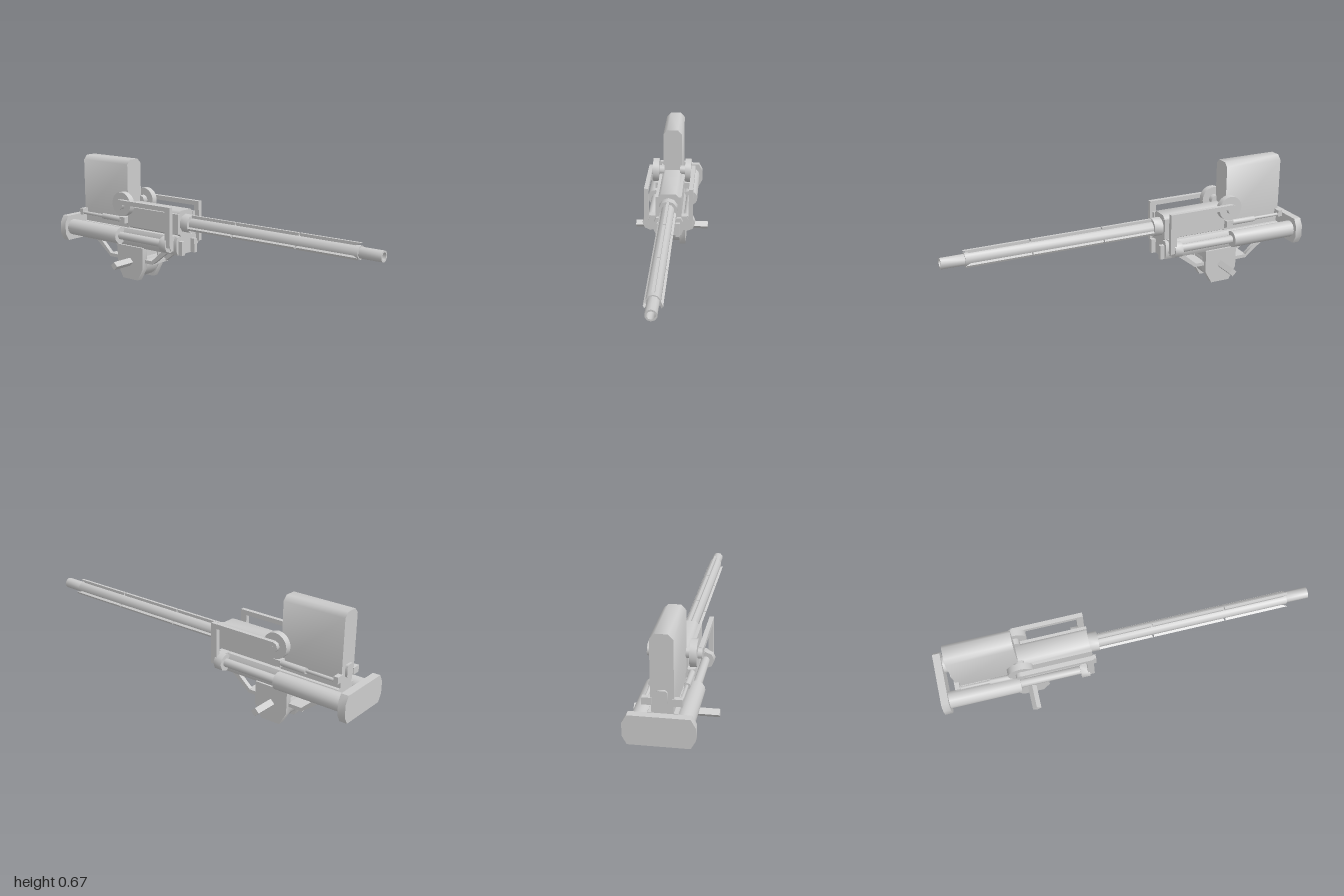
import * as THREE from 'three';
import { toCreasedNormals } from 'three/addons/utils/BufferGeometryUtils.js';

const mat = new THREE.MeshStandardMaterial({ color: 0xcccccc });

export function createModel() {
  const root = new THREE.Group();
  const add = (name, geo) => {
    const m = new THREE.Mesh(toCreasedNormals(geo, 0.85), mat);
    m.name = name;
    root.add(m);
    return m;
  };
  // Box given by its extents
  const box = (name, x0, x1, y0, y1, z0, z1) =>
    add(name, new THREE.BoxGeometry(x1 - x0, y1 - y0, z1 - z0)
      .translate((x0 + x1) / 2, (y0 + y1) / 2, (z0 + z1) / 2));
  const shapeOf = (pts) => new THREE.Shape(pts.map((p) => new THREE.Vector2(...p)));
  // Outline in x,y swept from z0 to z1
  const alongZ = (name, pts, z0, z1) =>
    add(name, new THREE.ExtrudeGeometry(shapeOf(pts), { depth: z1 - z0, bevelEnabled: false }).translate(0, 0, z0));
  // Outline in z,y swept from x0 to x1
  const alongX = (name, pts, x0, x1) =>
    add(name, new THREE.ExtrudeGeometry(shapeOf(pts), { depth: x1 - x0, bevelEnabled: false })
      .rotateY(-Math.PI / 2).translate(x1, 0, 0));
  const rodZ = (name, r, x, y, z0, z1, n = 10) =>
    add(name, new THREE.CylinderGeometry(r, r, z1 - z0, n).rotateX(Math.PI / 2).translate(x, y, (z0 + z1) / 2));
  const rodX = (name, r, y, z, x0, x1, n = 24) =>
    add(name, new THREE.CylinderGeometry(r, r, x1 - x0, n).rotateZ(Math.PI / 2).translate((x0 + x1) / 2, y, z));
  // Rectangle with cut corners
  const cut = (hw, y0, y1, cx, cy) => [
    [-hw + cx, y0], [hw - cx, y0], [hw, y0 + cy], [hw, y1 - cy],
    [hw - cx, y1], [-hw + cx, y1], [-hw, y1 - cy], [-hw, y0 + cy]];

  // Barrel with a hollow muzzle
  const by = 0.353;
  const profile = [[0.001, 0.9], [0.02, 0.9], [0.02, 1], [0.029, 1], [0.029, 0.88], [0.035, 0.88], [0.035, -0.15]]
    .reverse().map((p) => new THREE.Vector2(...p));
  add('barrel', new THREE.LatheGeometry(profile.reverse(), 10).rotateX(Math.PI / 2)
    .translate(0, by, 0)).material = new THREE.MeshStandardMaterial({ color: 0xcccccc, side: THREE.DoubleSide });
  rodZ('barrelCollar', 0.051, 0, by, -0.2, -0.14);

  // Three rows of barrel ribs, each with an undercut front tip
  for (let k = 0; k < 3; k++) {
    [[-0.15, 0.147], [0.153, 0.537], [0.543, 0.885]].forEach(([a, b], i) => {
      const tip = i === 2 ? 0.04 : 0.004;
      const rib = alongX('barrelRib', [[a, 0.028], [b - tip, 0.028], [b, 0.048], [a, 0.048]], -0.007, 0.007);
      rib.position.y = by;
      rib.rotation.z = k * Math.PI * 2 / 3;
    });
  }

  // Receiver, breech and magazine
  alongZ('receiver', cut(0.06, 0.285, 0.425, 0.02, 0.02), -0.57, -0.19);
  box('breech', -0.05, 0.05, 0.28, 0.36, -0.9, -0.56);
  alongZ('magazine', [[-0.053, 0.33], [0.053, 0.33], [0.053, 0.64], [0.03, 0.665], [-0.03, 0.665], [-0.053, 0.64]], -0.905, -0.565);
  alongZ('rearKnob', cut(0.025, 0.335, 0.4, 0.008, 0.008), -0.918, -0.9);

  // Cradle, front yoke and end plate
  alongZ('cradle', cut(0.08, 0.185, 0.285, 0.012, 0.025), -0.9, -0.19);
  alongZ('frontYoke', [[-0.05, 0.2], [0.05, 0.2], [0.1, 0.21], [0.115, 0.25], [0.1, 0.29],
    [-0.1, 0.29], [-0.115, 0.25], [-0.1, 0.21]], -0.25, -0.21);
  alongZ('endPlate', cut(0.163, 0.173, 0.316, 0.022, 0.04), -1, -0.96);

  for (const s of [-1, 1]) {
    const side = (fn, name, a, b, ...rest) => fn(name, ...(s > 0 ? [a, b] : [-b, -a]), ...rest);
    const sideX = (name, pts, a, b) => alongX(name, pts, ...(s > 0 ? [a, b] : [-b, -a]));
    const sideRod = (name, r, y, z, a, b, n) => rodX(name, r, y, z, ...(s > 0 ? [a, b] : [-b, -a]), n);

    side(box, 'receiverSidePlate', 0.055, 0.071, 0.3, 0.41, -0.55, -0.185);
    side(box, 'frontLug', 0.04, 0.063, 0.185, 0.262, -0.22, -0.165);

    // Recoil cylinder, its rod and front cap
    rodZ('recoilCylinder', 0.045, s * 0.1, 0.246, -0.965, -0.58, 16);
    rodZ('recoilRod', 0.022, s * 0.1, 0.246, -0.59, -0.25);
    rodZ('recoilRodCap', 0.045, s * 0.1, 0.246, -0.262, -0.215, 8);

    // Cocking handle frame: top bar and front drop in one piece
    sideX('sideFrame', [[-0.565, 0.43], [-0.225, 0.43], [-0.225, 0.235], [-0.19, 0.235],
      [-0.19, 0.455], [-0.565, 0.455]], 0.11, 0.133);
    sideRod('wheel', 0.067, 0.427, -0.563, 0.075, 0.109, 28);
    sideRod('wheelHub', 0.028, 0.427, -0.563, 0.045, 0.13, 8);

    // Feed rod beside the breech
    side(box, 'feedRodBlock', 0.06, 0.098, 0.317, 0.352, -0.59, -0.55);
    rodZ('feedRodSleeve', 0.016, s * 0.083, 0.336, -0.73, -0.58, 8);
    rodZ('feedRod', 0.009, s * 0.08, 0.336, -0.9, -0.72, 8);
    side(box, 'feedRodEnd', 0.045, 0.092, 0.325, 0.36, -0.91, -0.885);

    // Pivot cheek and trunnion
    sideX('pivotCheek', [[-0.585, 0], [-0.475, 0], [-0.435, 0.07], [-0.435, 0.19], [-0.625, 0.19], [-0.625, 0.07]], 0.047, 0.082);
    sideRod('trunnion', 0.023, 0.1, -0.53, 0.08, 0.21, 4);

    // Sloping struts between cradle and pivot
    sideX('frontStrut', [[-0.38, 0.102], [-0.27, 0.186], [-0.31, 0.186], [-0.385, 0.122]], 0.04, 0.063);
    sideX('rearStrut', [[-0.7, 0.122], [-0.77, 0.186], [-0.81, 0.186], [-0.7, 0.102]], 0.04, 0.063);
  }

  // Pivot drum and strut base plates
  rodX('pivotDrum', 0.093, 0.1, -0.53, -0.048, 0.048, 28);
  box('pivotBlock', -0.05, 0.05, 0.1, 0.19, -0.615, -0.445);
  box('frontStrutPlate', -0.063, 0.063, 0.102, 0.121, -0.45, -0.375);
  box('rearStrutPlate', -0.063, 0.063, 0.102, 0.121, -0.705, -0.61);

  return root;
}
